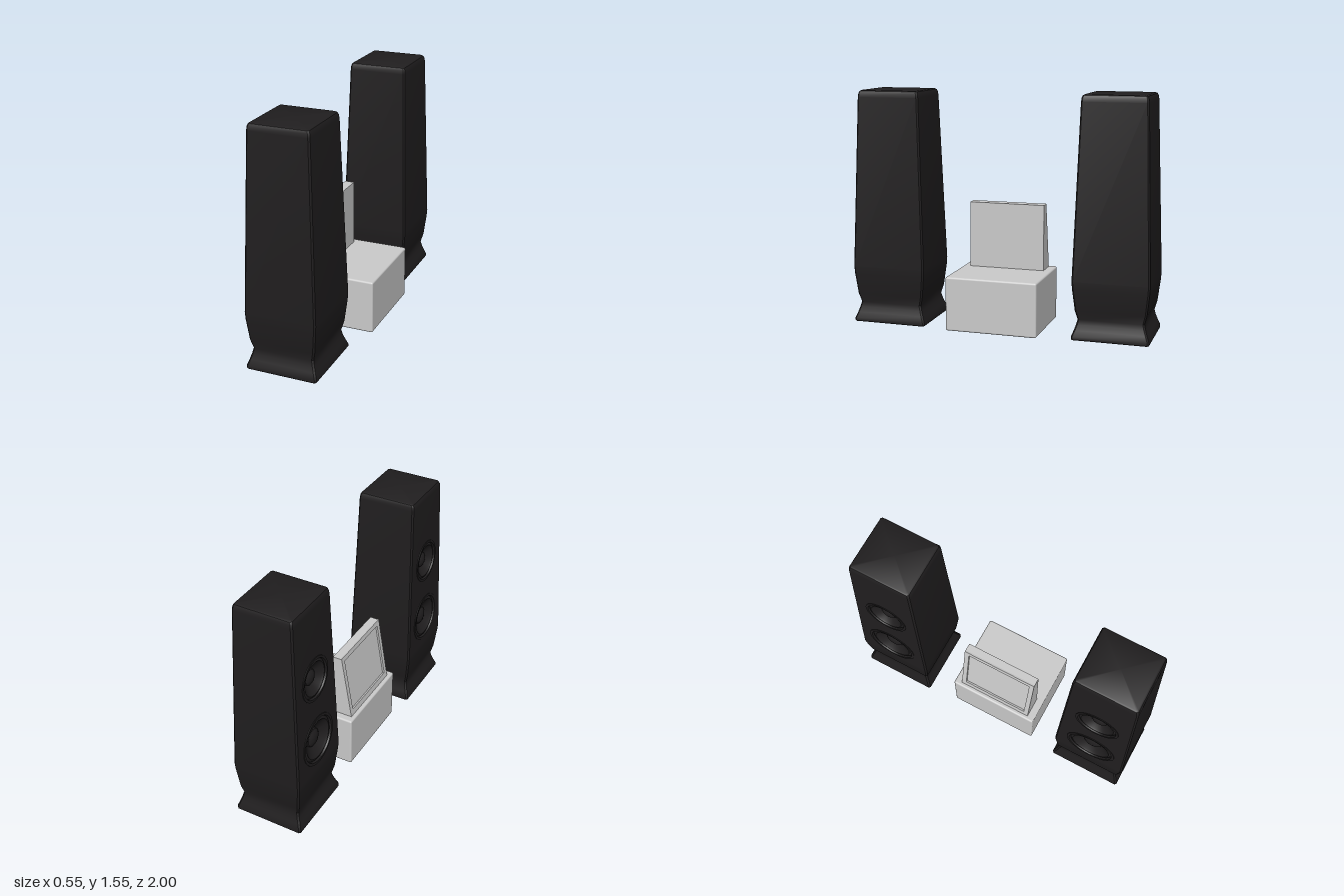
import * as THREE from 'three';
import { toCreasedNormals } from 'three/addons/utils/BufferGeometryUtils.js';
import { RoundedBoxGeometry } from 'three/addons/geometries/RoundedBoxGeometry.js';

const black = new THREE.MeshStandardMaterial({ color: 0x201e1f });
const blackThin = new THREE.MeshStandardMaterial({ color: 0x201e1f, side: THREE.DoubleSide });
const grey = new THREE.MeshStandardMaterial({ color: 0xcccccc });

// Cabinet cross-sections: [height, half depth in x]; half width in z is wider by RATIO
const SECTIONS = [
  [0, 0.23], [0.004, 0.233], [0.022, 0.233], [0.06, 0.219], [0.095, 0.208], [0.13, 0.2],
  [0.19, 0.215], [0.33, 0.23], [0.38, 0.233], [1.51, 0.197], [1.535, 0.194], [1.549, 0.188], [1.555, 0.178],
];
const RATIO = 1.073, CHAMFER = 0.01, BAFFLE = 8; // BAFFLE: index of the row holding the drivers
const DRIVERS = [{ name: 'wooferDriver', y: 0.585, r: 0.165 }, { name: 'midrangeDriver', y: 1.04, r: 0.14 }];

const [y0, h0] = SECTIONS[BAFFLE], [y1, h1] = SECTIONS[BAFFLE + 1];
const slope = (h0 - h1) / (y1 - y0);
const baffleX = (y) => -(h0 - (y - y0) * slope);

function mesh(name, geometry, material) {
  const m = new THREE.Mesh(geometry, material);
  m.name = name;
  return m;
}

// Chamfered rectangle at one height
function ring([y, hx]) {
  const hz = hx * RATIO, c = CHAMFER;
  return [
    [hx, hz - c], [hx, c - hz], [hx - c, -hz], [c - hx, -hz],
    [-hx, c - hz], [-hx, hz - c], [c - hx, hz], [hx - c, hz],
  ].map(([x, z]) => [x, y, z]);
}

// Lofted cabinet whose driver side is a panel with round openings
function cabinetGeometry() {
  const rings = SECTIONS.map(ring), pos = [];
  const tri = (...pts) => pts.forEach((p) => pos.push(...p));
  for (let k = 0; k < rings.length - 1; k++) {
    for (let i = 0; i < 8; i++) {
      if (k === BAFFLE && i === 4) continue;
      const j = (i + 1) % 8, a = rings[k], b = rings[k + 1];
      tri(a[i], a[j], b[j]);
      tri(a[i], b[j], b[i]);
    }
  }
  const top = rings[rings.length - 1], bottom = rings[0];
  for (let i = 0; i < 8; i++) {
    const j = (i + 1) % 8;
    tri([0, top[0][1], 0], top[i], top[j]);
    tri([0, 0, 0], bottom[j], bottom[i]);
  }
  // driver panel
  const w0 = h0 * RATIO - CHAMFER, w1 = h1 * RATIO - CHAMFER;
  const shape = new THREE.Shape([[-w0, y0], [w0, y0], [w1, y1], [-w1, y1]].map((p) => new THREE.Vector2(...p)));
  for (const d of DRIVERS) shape.holes.push(new THREE.Path().absarc(0, d.y, d.r, 0, Math.PI * 2, true));
  const panel = new THREE.ShapeGeometry(shape, 24).toNonIndexed().attributes.position;
  for (let i = 0; i < panel.count; i++) {
    pos.push(baffleX(panel.getY(i)), panel.getY(i), panel.getX(i));
  }
  const g = new THREE.BufferGeometry();
  g.setAttribute('position', new THREE.Float32BufferAttribute(pos, 3));
  return toCreasedNormals(g, 0.6);
}

// Rim, rolled surround, cone and dust cap, facing +y
function driverGeometry(r) {
  const profile = [
    [r + 0.006, -0.003], [r + 0.006, 0.004], [r * 0.93, 0.004], [r * 0.9, -0.01],
    [r * 0.85, -0.003], [r * 0.79, -0.002], [r * 0.73, -0.012], [r * 0.38, -0.045],
    [r * 0.36, -0.034], [r * 0.26, -0.024], [r * 0.13, -0.018], [0, -0.016],
  ].map((p) => new THREE.Vector2(...p));
  return toCreasedNormals(new THREE.LatheGeometry(profile, 40), 0.7);
}

function speaker(name) {
  const g = new THREE.Group();
  g.name = name;
  g.add(mesh('cabinet', cabinetGeometry(), black));
  for (const d of DRIVERS) {
    const m = mesh(d.name, driverGeometry(d.r), blackThin);
    m.position.set(baffleX(d.y), d.y, 0);
    m.rotation.z = Math.PI / 2 - Math.atan(slope);
    g.add(m);
  }
  return g;
}

// Wedge-shaped display: upright back, sloping front with a raised bezel
function display() {
  const g = new THREE.Group();
  g.name = 'display';
  const width = 0.51, bottom = 0.365, top = 0.81, lean = 0.075, rim = 0.012;
  const length = Math.hypot(lean, top - bottom);
  const profile = new THREE.Shape([
    [-0.225 + rim, bottom], [-0.088, bottom], [-0.088, top], [-0.15 + rim, top],
  ].map((p) => new THREE.Vector2(...p)));
  const body = mesh('displayBody', new THREE.ExtrudeGeometry(profile, { depth: width, bevelEnabled: false }), grey);
  body.position.z = -width / 2;
  g.add(body);

  const rect = (w, a, b) => [[-w, a], [w, a], [w, b], [-w, b]].map((p) => new THREE.Vector2(...p));
  const frame = new THREE.Shape(rect(width / 2, 0, length));
  frame.holes.push(new THREE.Path(rect(width / 2 - 0.032, 0.045, length - 0.032).reverse()));
  const bezel = mesh('displayBezel', new THREE.ExtrudeGeometry(frame, { depth: rim, bevelEnabled: false }), grey);
  bezel.rotation.set(-Math.atan2(lean, top - bottom), -Math.PI / 2, 0, 'YXZ');
  bezel.position.set(-0.225 + rim, bottom, 0);
  g.add(bezel);
  g.position.z = 0.01;
  return g;
}

export function createModel() {
  const model = new THREE.Group();
  model.name = 'stereoSystem';

  // Pair of tower speakers
  for (const side of [-1, 1]) {
    const s = speaker(side > 0 ? 'frontSpeaker' : 'backSpeaker');
    s.position.set(-0.043, 0, 0.75 * side);
    model.add(s);
  }

  // Console between them, carrying the display
  const console = mesh('consoleBox', new RoundedBoxGeometry(0.525, 0.357, 0.61, 3, 0.012), grey);
  console.position.set(0.0125, 0.1935, 0.01);
  model.add(console, display());
  return model;
}
